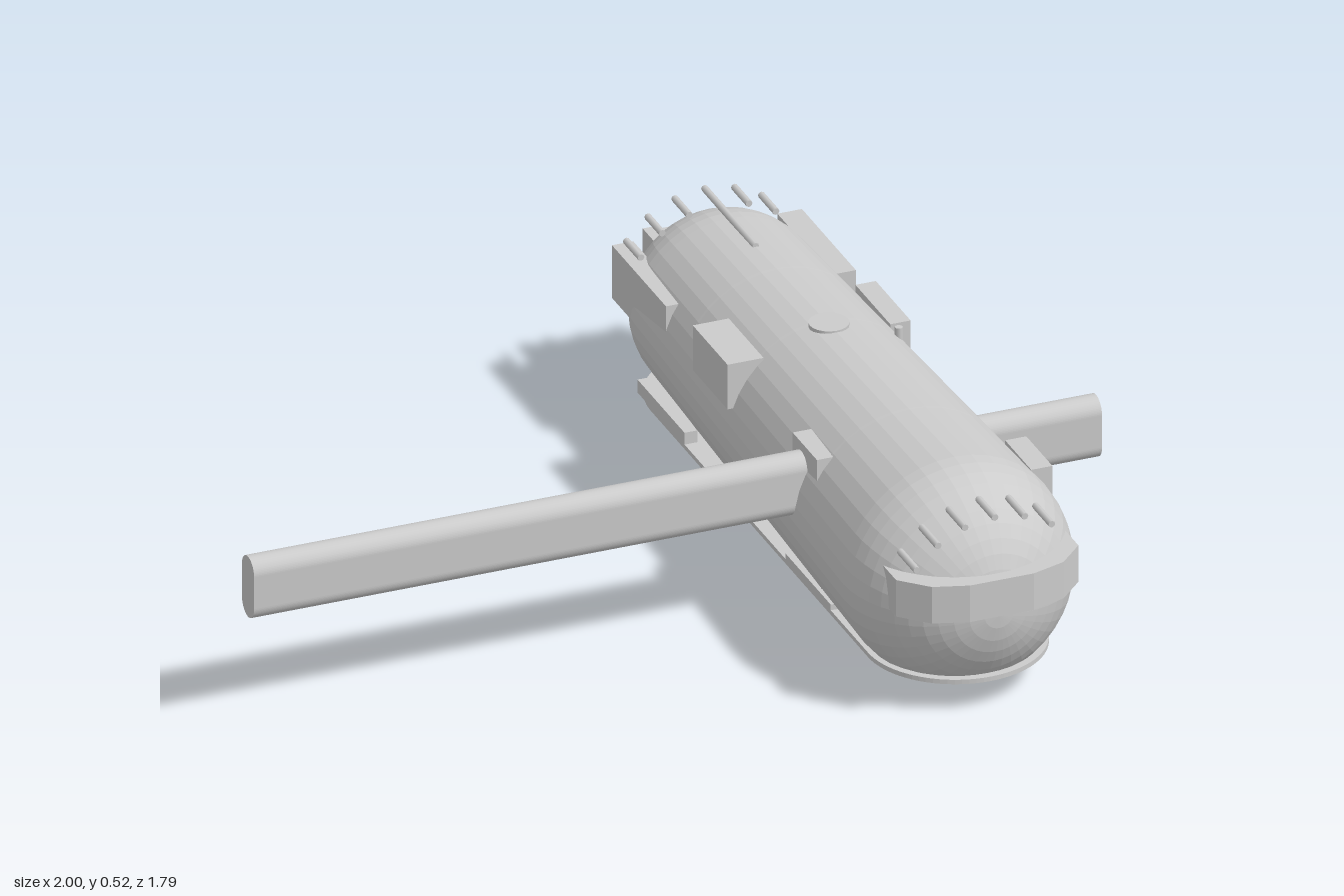
import * as THREE from 'three';

const CX = 0.526, CY = 0.264; // hull axis
const mat = new THREE.MeshStandardMaterial({ color: 0xcccccc });
const flat = new THREE.MeshStandardMaterial({ color: 0xcccccc, flatShading: true });

export function createModel() {
  const group = new THREE.Group();
  const add = (name, geometry, material = mat) => {
    const mesh = new THREE.Mesh(geometry, material);
    mesh.name = name;
    group.add(mesh);
    return mesh;
  };
  // Box from its lower and upper corners
  const box = (name, x0, x1, y0, y1, z0, z1) =>
    add(name, new THREE.BoxGeometry(x1 - x0, y1 - y0, z1 - z0))
      .position.set((x0 + x1) / 2, (y0 + y1) / 2, (z0 + z1) / 2);
  // Outline in the x-z plane (shape y = z), extruded downwards from yTop
  const slab = (name, shape, yTop, height) => {
    const g = new THREE.ExtrudeGeometry(shape, { depth: height, bevelEnabled: false, curveSegments: 20 });
    g.rotateX(Math.PI / 2);
    add(name, g, flat).position.set(CX, yTop, 0);
  };
  // Rounded slot with half width w and half length h
  const slot = (w, h) => {
    const s = new THREE.Shape();
    s.moveTo(w, -h + w);
    s.lineTo(w, h - w);
    s.absarc(0, h - w, w, 0, Math.PI, false);
    s.lineTo(-w, -h + w);
    s.absarc(0, -h + w, w, Math.PI, Math.PI * 2, false);
    return s;
  };

  // Tapered capsule hull
  const rF = 0.262, zF = 0.62, rB = 0.22, zB = -0.675, N = 12;
  const profile = [];
  for (let i = 0; i <= N; i++) {
    const a = (i / N) * Math.PI / 2;
    profile.push(new THREE.Vector2(rB * Math.sin(a), zB - rB * Math.cos(a)));
  }
  for (let i = 0; i <= N; i++) {
    const a = (i / N) * Math.PI / 2;
    profile.push(new THREE.Vector2(rF * Math.cos(a), zF + rF * Math.sin(a)));
  }
  const hull = add('hull', new THREE.LatheGeometry(profile, 40).rotateX(Math.PI / 2), flat);
  hull.position.set(CX, CY, 0);

  // Thin seam bands around the hull
  const radiusAt = z => rB + (rF - rB) * (z - zB) / (zF - zB);
  for (const z of [0.36, -0.12, -0.4]) {
    const r = radiusAt(z) + 0.0005;
    add('seamBand', new THREE.CylinderGeometry(r, r, 0.008, 40, 1, true).rotateX(Math.PI / 2), flat)
      .position.set(CX, CY, z);
  }

  // Cross wing passing through the hull
  const wing = new THREE.ExtrudeGeometry(slot(0.035, 0.074), { depth: 2, bevelEnabled: false, curveSegments: 16 });
  add('wing', wing.rotateY(Math.PI / 2), flat).position.set(-1, 0.345, 0.28);

  // Faceted nose visor
  const visor = new THREE.Shape([[-0.215, 0.72], [0.215, 0.72], [0.215, 0.81], [0.155, 0.87], [0.075, 0.895],
    [-0.075, 0.895], [-0.155, 0.87], [-0.215, 0.81]].map(p => new THREE.Vector2(...p)));
  slab('visor', visor, 0.357, 0.09);

  // Keel plate and the round foot under the tail
  slab('keelPlate', slot(0.205, 0.83), 0.086, 0.011);
  add('tailFoot', new THREE.CylinderGeometry(0.07, 0.07, 0.07, 32)).position.set(CX, 0.053, -0.72);

  // Equipment boxes on the left side
  box('forwardLeftBox', 0.72, 0.77, 0.365, 0.44, 0.44, 0.59);
  box('middleLeftBox', 0.72, 0.768, 0.27, 0.405, -0.42, -0.22);
  box('rearLeftBox', 0.7, 0.758, 0.26, 0.39, -0.82, -0.51);
  box('lowerLeftBox', 0.66, 0.768, 0.086, 0.15, -0.42, -0.11);
  box('lowerLeftRiser', 0.7, 0.768, 0.15, 0.235, -0.42, -0.32);

  // Equipment boxes on the right side
  box('middleRightBox', 0.287, 0.372, 0.34, 0.45, -0.3, -0.1);
  box('wingRootBox', 0.305, 0.36, 0.35, 0.44, 0.23, 0.37);
  box('rearRightBox', 0.31, 0.36, 0.26, 0.39, -0.82, -0.51);

  // Tail panel with two side lips
  box('tailPanel', 0.42, 0.645, 0.28, 0.375, -0.88, -0.8);
  for (const s of [-1, 1])
    box('tailLip', CX + s * 0.105 - 0.012, CX + s * 0.105 + 0.012, 0.27, 0.38, -0.885, -0.8);

  // Low strips along the keel edge
  for (const s of [-1, 1]) {
    const a = CX + s * 0.19;
    box('keelStrip', a - 0.015, a + 0.015, 0.083, 0.1, 0.15, 0.41);
    box('keelStrip', a - 0.015, a + 0.015, 0.083, 0.115, -0.7, -0.43);
  }

  // Fan of rods over the nose and the tail
  for (let i = 0; i < 6; i++) {
    const a = (-54 + i * 18) * Math.PI / 180;
    const x = CX + 0.228 * Math.sin(a), y = CY + 0.226 * Math.cos(a);
    const rod = (name, z0, z1) =>
      add(name, new THREE.CylinderGeometry(0.008, 0.008, z1 - z0, 8).rotateX(Math.PI / 2))
        .position.set(x, y, (z0 + z1) / 2);
    rod('noseRod', 0.76, 0.855);
    rod('tailRod', -0.815, i === 3 ? -0.52 : -0.73);
  }

  // Roof hatch and small fitting
  add('roofHatch', new THREE.CylinderGeometry(0.045, 0.045, 0.03, 20)).position.set(CX, 0.493, -0.1);
  add('roofFitting', new THREE.CylinderGeometry(0.009, 0.009, 0.03, 10)).position.set(0.693, 0.445, -0.105);

  return group;
}
